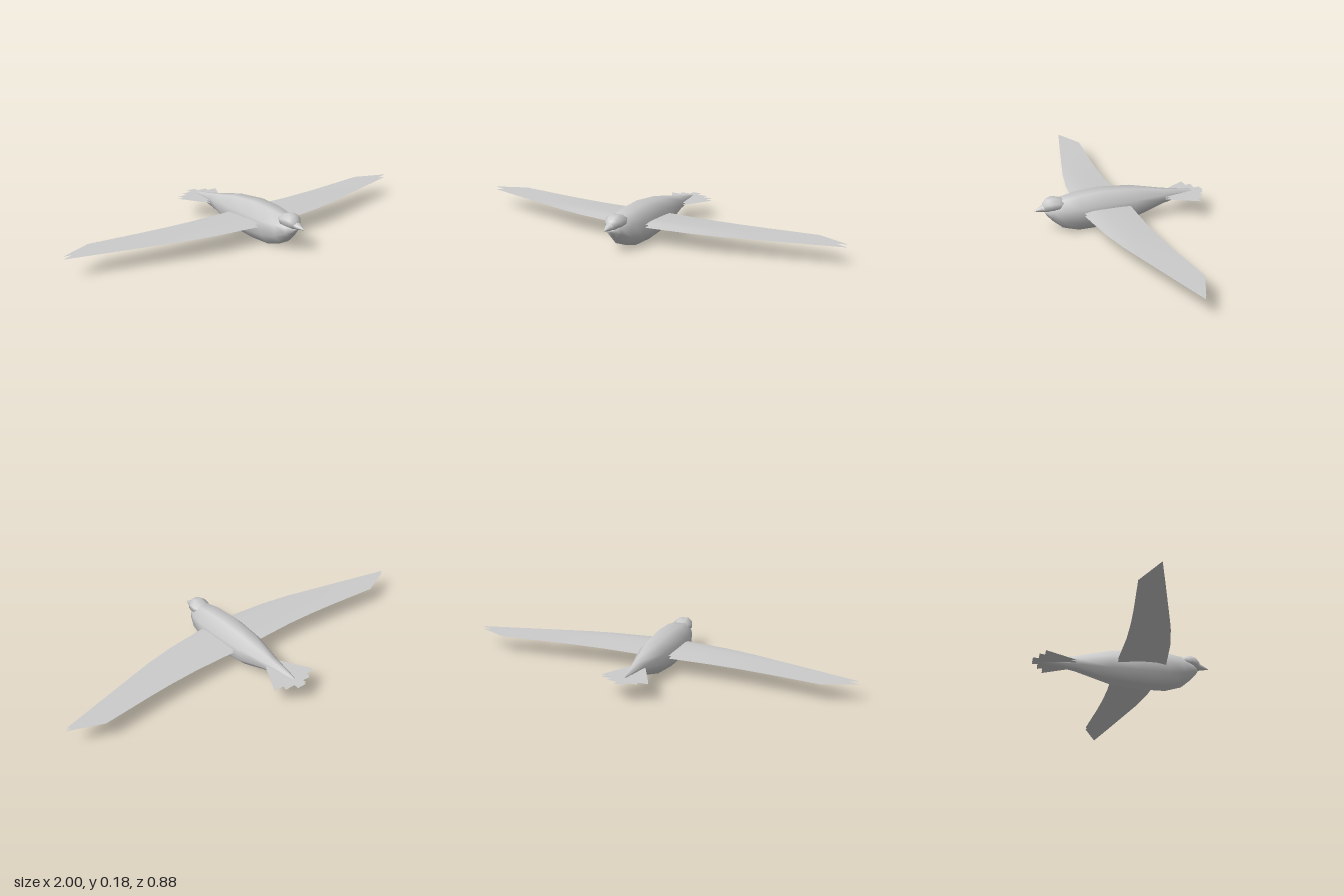
import * as THREE from 'three';

const grey = new THREE.MeshStandardMaterial({ color: 0xcccccc });
const thin = new THREE.MeshStandardMaterial({ color: 0xcccccc, side: THREE.DoubleSide });

function add(parent, name, geometry, material) {
  const mesh = new THREE.Mesh(geometry, material);
  mesh.name = name;
  parent.add(mesh);
  return mesh;
}

// Surface through a grid of points; neighbouring rows are joined by quads
function skin(rows, closed) {
  const n = rows[0].length, index = [];
  for (let i = 0; i < rows.length - 1; i++) {
    for (let j = 0; j < (closed ? n : n - 1); j++) {
      const k = (j + 1) % n;
      const a = i * n + j, b = a + n, c = (i + 1) * n + k, d = i * n + k;
      index.push(a, b, d, b, c, d);
    }
  }
  const g = new THREE.BufferGeometry();
  g.setAttribute('position', new THREE.Float32BufferAttribute(rows.flat(2), 3));
  g.setIndex(index);
  g.computeVertexNormals();
  return g;
}

// Eight-sided loft along z; sections are [z, bottom, top, halfWidth]
function loft(sections) {
  const k = 1 / Math.cos(Math.PI / 8);
  return skin(sections.map(([z, bottom, top, w]) => {
    const ring = [];
    for (let j = 0; j < 8; j++) {
      const t = (j + 0.5) * Math.PI / 4;
      ring.push([w * k * Math.cos(t), (top + bottom) / 2 + (top - bottom) / 2 * k * Math.sin(t), z]);
    }
    return ring;
  }), true);
}

// Thin cambered wing sheet, flattening towards the tip
function wingSheet(y) {
  const plan = [ // x, leading z, trailing z
    [0, 0.21, -0.034], [0.08, 0.205, -0.032], [0.3, 0.18, -0.028], [0.45, 0.15, -0.034],
    [0.58, 0.115, -0.044], [0.84, 0.045, -0.07], [1, 0.001, -0.001],
  ];
  return skin(plan.map(([x, lead, trail]) => {
    const row = [];
    for (let j = 0; j <= 6; j++) {
      const t = j / 6;
      const camber = 0.04 * Math.sqrt(t) * (1 - t) * Math.max(0, 1 - x / 0.6) * 0.65;
      row.push([x, y + camber, THREE.MathUtils.lerp(lead, trail, t)]);
    }
    return row;
  }), false);
}

export function createModel() {
  const bird = new THREE.Group();
  bird.name = 'bird';

  // Body, from breast to rump
  add(bird, 'body', loft([
    [0.382, 0.105, 0.107, 0.001], [0.372, 0.09, 0.12, 0.02], [0.35, 0.066, 0.14, 0.04],
    [0.3, 0.024, 0.165, 0.063], [0.22, 0.002, 0.178, 0.079], [0.1, 0.002, 0.185, 0.082],
    [-0.06, 0.017, 0.172, 0.07], [-0.23, 0.065, 0.137, 0.032], [-0.38, 0.092, 0.112, 0.008],
    [-0.392, 0.102, 0.104, 0.001],
  ]), grey);

  // Head and beak
  add(bird, 'head', loft([
    [0.392, 0.13, 0.138, 0.003], [0.388, 0.117, 0.154, 0.02], [0.37, 0.112, 0.172, 0.036],
    [0.345, 0.11, 0.179, 0.045], [0.315, 0.115, 0.172, 0.045], [0.29, 0.13, 0.165, 0.035],
    [0.27, 0.145, 0.155, 0.005],
  ]), grey);
  add(bird, 'beak', loft([
    [0.435, 0.119, 0.121, 0.001], [0.4, 0.114, 0.14, 0.016], [0.375, 0.113, 0.15, 0.026],
  ]), grey);

  // Wings: an upper and a lower sheet on each side
  for (const [side, sign] of [['left', 1], ['right', -1]]) {
    const wing = new THREE.Group();
    wing.name = side + 'Wing';
    wing.scale.x = sign;
    add(wing, 'upperSurface', wingSheet(0.105), thin);
    add(wing, 'lowerSurface', wingSheet(0.091), thin);
    bird.add(wing);
  }

  // Tail: fanned feathers in two layers, as [x1, x2, root x, end z]
  const tail = new THREE.Group();
  tail.name = 'tail';
  const feathers = [[-0.025, 0.025, 0, -0.44], [0.02, 0.076, 0.015, -0.412], [0.06, 0.12, 0.03, -0.385]];
  feathers.forEach(([x1, x2, root, end], i) => {
    for (const sign of i ? [1, -1] : [1]) {
      for (const y of [0.096, 0.107]) {
        const h = y - i * 0.001;
        const feather = add(tail, 'tailFeather', skin([
          [[root - 0.008, h, -0.23], [x1, h, end]],
          [[root + 0.008, h, -0.23], [x2, h, end]],
        ], false), thin);
        feather.scale.x = sign;
      }
    }
  });
  bird.add(tail);
  return bird;
}
